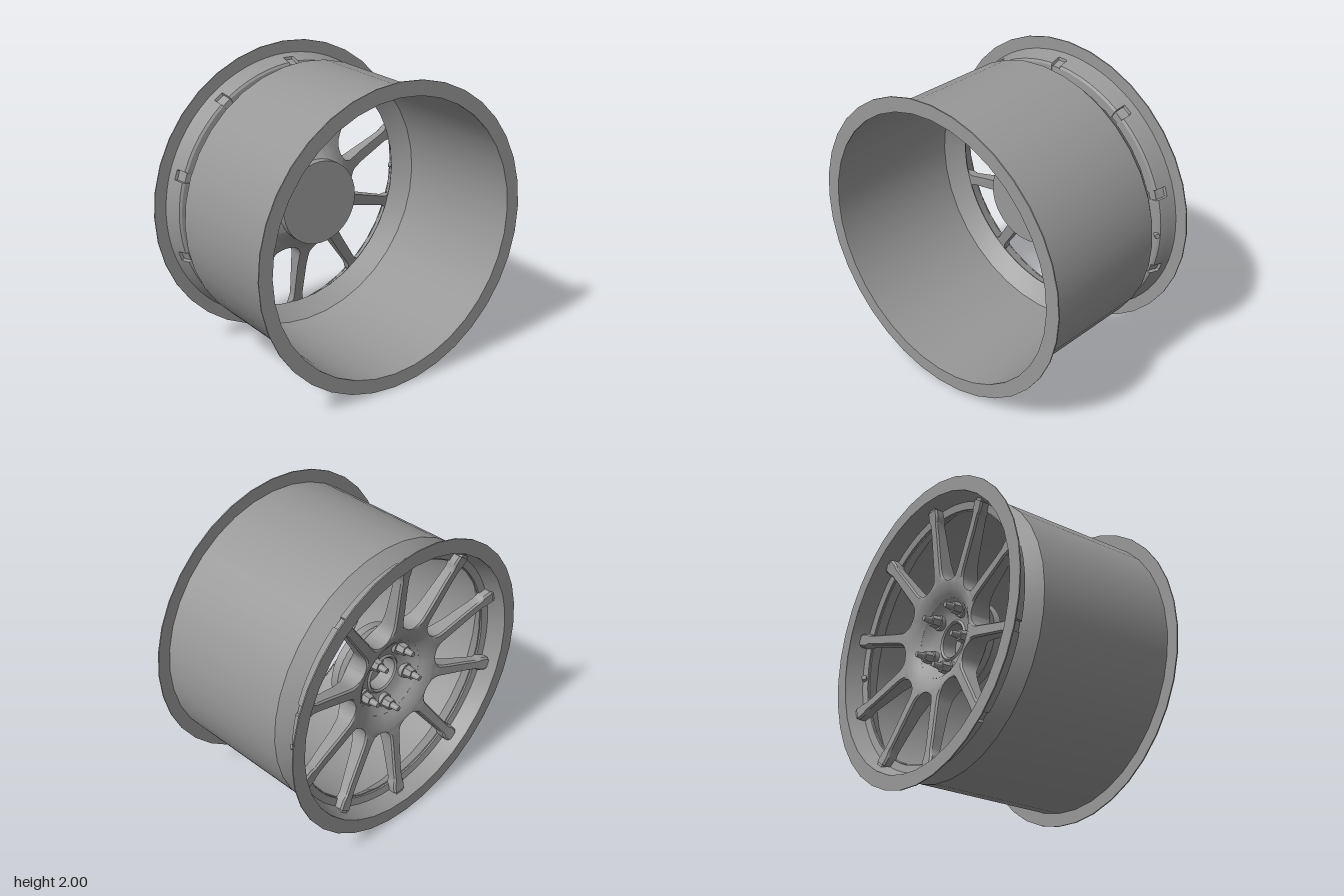
import * as THREE from 'three';
import { toCreasedNormals } from 'three/addons/utils/BufferGeometryUtils.js';

const material = new THREE.MeshStandardMaterial({ color: 0x989898, side: THREE.DoubleSide });
const SPOKES = 10;
const STEP = (Math.PI * 2) / SPOKES;

function part(name, geometry, crease = 0.5) {
  const mesh = new THREE.Mesh(toCreasedNormals(geometry, crease), material);
  mesh.name = name;
  return mesh;
}

// Turned part about the x axis; profile points are [x, radius]
function turned(name, profile, segments = 36) {
  const points = profile.map(([x, r]) => new THREE.Vector2(r, x));
  return part(name, new THREE.LatheGeometry(points, segments).rotateZ(-Math.PI / 2));
}

// Skin a grid of points: rows of equal length
function skin(rows, capEnds = false) {
  const n = rows[0].length;
  const index = [];
  for (let i = 0; i < rows.length - 1; i++) {
    for (let j = 0; j < n - 1; j++) {
      const a = i * n + j, b = a + 1, c = a + n, d = c + 1;
      index.push(a, b, c, b, d, c);
    }
  }
  if (capEnds) {
    const last = (rows.length - 1) * n;
    for (let j = 1; j < n - 2; j++) {
      index.push(0, j + 1, j, last, last + j, last + j + 1);
    }
  }
  const geometry = new THREE.BufferGeometry();
  geometry.setAttribute('position', new THREE.Float32BufferAttribute(rows.flat(2), 3));
  geometry.setIndex(index);
  return geometry;
}

const polar = (x, r, a) => [x, r * Math.cos(a), r * Math.sin(a)];

// Linear interpolation through [key, value] pairs
function lerpTable(table, k) {
  for (let i = 1; i < table.length; i++) {
    const [k0, v0] = table[i - 1], [k1, v1] = table[i];
    if (k <= k1) return v0 + ((v1 - v0) * (k - k0)) / (k1 - k0);
  }
  return table[table.length - 1][1];
}

// Front lip with a pocket pressed in behind every spoke end
function lipGeometry() {
  // [x, radius, pocket depth]
  const profile = [
    [-0.6, 0.918, 0], [-0.55, 0.904, 0], [-0.54, 0.902, 0.05],
    [-0.485, 0.887, 0.055], [-0.475, 0.872, 0.045], [-0.472, 0.82, 0],
    [-0.485, 0.82, 0], [-0.495, 0.868, 0], [-0.6, 0.905, 0],
  ];
  const offsets = [-0.5, -0.36, -0.22, -0.1, -0.062, -0.05, 0.05, 0.062, 0.1, 0.22, 0.36];
  const rows = [];
  for (let k = 0; k < SPOKES; k++) {
    for (const o of offsets) {
      const dent = Math.abs(o) < 0.055 ? 1 : 0;
      rows.push(profile.map(([x, r, d]) => polar(x, r - d * dent, (k + o) * STEP)));
    }
  }
  rows.push(rows[0]);
  return skin(rows);
}

// Half angle of a spoke: full sector at the hub, round window root, slim arm
function spokeHalfAngle(r) {
  const centre = 0.465, radius = 0.105;
  if (r <= centre - radius) return STEP / 2;
  const flare = 0.03 * Math.max(0, (r - 0.77) / 0.06) ** 2;
  const width = 0.038 - 0.016 * (r - 0.46) + Math.min(flare, 0.015);
  const arm = Math.asin(width / r);
  if (r >= centre) return arm;
  const c = (r * r + centre * centre - radius * radius) / (2 * r * centre);
  return Math.max(arm, STEP / 2 - Math.acos(Math.min(1, c)));
}

// Spoke falling into the dished hub, lofted outwards through its cross-sections
function spokeGeometry() {
  const radii = [0.26, 0.28, 0.3, 0.32, 0.345, 0.36, 0.363, 0.37, 0.38, 0.395, 0.41,
    0.43, 0.465, 0.52, 0.6, 0.7, 0.77, 0.79, 0.81, 0.835, 0.87];
  const front = [[0.26, -0.435], [0.3, -0.463], [0.345, -0.482], [0.41, -0.495],
    [0.52, -0.507], [0.7, -0.525], [0.81, -0.54], [0.87, -0.55]];
  const back = [[0.26, -0.22], [0.28, -0.245], [0.32, -0.3], [0.36, -0.345],
    [0.43, -0.385], [0.52, -0.415], [0.81, -0.475], [0.87, -0.482]];
  const rows = radii.map((r) => {
    const h = spokeHalfAngle(r);
    const f = lerpTable(front, r), b = lerpTable(back, r);
    const bevel = Math.min(0.012, Math.max(0, (r - 0.36) * 0.3));
    const loop = [[-1, b], [-1, f + bevel], [-0.75, f], [0, f], [0.75, f],
      [1, f + bevel], [1, b], [0.5, b], [0, b], [-0.5, b], [-1, b]];
    return loop.map(([t, x]) => polar(x, r, t * h));
  });
  return skin(rows, true);
}

// Lug nut with stud, pointing along -x
function lugNut() {
  const nut = new THREE.Group();
  nut.name = 'lugNut';
  const pieces = [
    ['nutSeat', 0.05, 0.05, 0.04, -0.38, 20],
    ['nutBody', 0.036, 0.042, 0.06, -0.425, 6],
    ['stud', 0.017, 0.024, 0.06, -0.48, 12],
  ];
  for (const [name, top, bottom, length, x, sides] of pieces) {
    const mesh = part(name, new THREE.CylinderGeometry(top, bottom, length, sides).rotateZ(Math.PI / 2));
    mesh.position.x = x;
    nut.add(mesh);
  }
  return nut;
}

export function createModel() {
  const wheel = new THREE.Group();
  wheel.name = 'wheelRim';
  wheel.position.y = 1;

  // Barrel with its tapered shoulder
  wheel.add(turned('barrel', [
    [-0.475, 0.82], [-0.365, 0.915], [0.603, 0.915], [0.603, 0.908],
    [-0.362, 0.908], [-0.472, 0.813], [-0.475, 0.82],
  ]));

  // Thin flanges at both ends
  for (const side of [-1, 1]) {
    const inner = 0.6 * side, outer = 0.608 * side;
    wheel.add(turned(side < 0 ? 'frontFlange' : 'backFlange', [
      [inner, 0.905], [inner, 1], [outer, 1], [outer, 0.905], [inner, 0.905],
    ]));
  }
  wheel.add(part('lip', lipGeometry()));

  // Hub: dished front with centre bore, flat closed back
  wheel.add(turned('hub', [
    [-0.27, 0], [-0.27, 0.11], [-0.365, 0.11], [-0.375, 0.122], [-0.365, 0.135],
    [-0.375, 0.18], [-0.395, 0.22], [-0.437, 0.262], [-0.42, 0.28],
    [-0.36, 0.285], [-0.2, 0.285], [-0.2, 0],
  ]));

  const spoke = spokeGeometry();
  for (let k = 0; k < SPOKES; k++) {
    const arm = part('spoke', spoke, 0.6);
    arm.rotation.x = k * STEP;
    wheel.add(arm);
  }

  // Five lug nuts, one on every other spoke line
  for (let k = 0; k < 5; k++) {
    const a = Math.PI + k * 2 * STEP;
    const nut = lugNut();
    nut.position.set(0, 0.2 * Math.cos(a), 0.2 * Math.sin(a));
    wheel.add(nut);
  }

  // Valve stem through the lip, between two spokes
  const valve = part('valveStem', new THREE.CylinderGeometry(0.017, 0.017, 0.08, 14));
  valve.position.set(-0.49, 0, -0.85);
  valve.rotation.set(-Math.PI / 2, 0, -0.7);
  wheel.add(valve);

  const model = new THREE.Group();
  model.name = 'model';
  model.add(wheel);
  return model;
}
